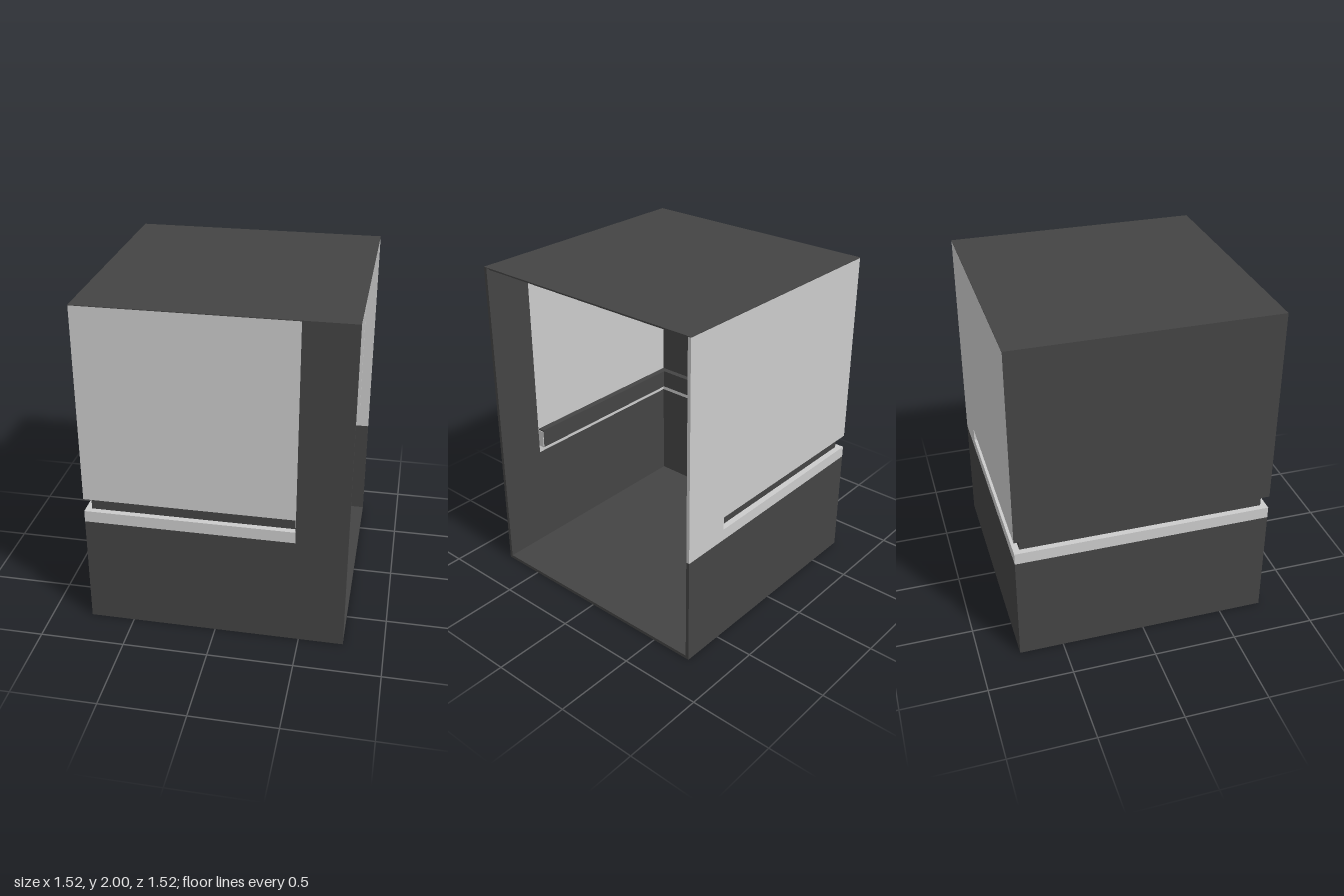
import * as THREE from 'three';

const H = 0.762;      // half width of the cabin
const T = 0.02;       // wall thickness
const XE = 0.465;     // where the rail groove stops
const LIP = 0.67, G0 = 0.74, G1 = 0.82, TOP = 2;

const grey = new THREE.MeshStandardMaterial({ color: 0xcccccc });
const dark = new THREE.MeshStandardMaterial({ color: 0x444444 });
const black = new THREE.MeshStandardMaterial({ color: 0x222222 });

// Vertical prism from a plan outline of [x, z] points
function prism(name, pts, y0, y1, mat) {
  const shape = new THREE.Shape(pts.map(([x, z]) => new THREE.Vector2(x, z)));
  const geo = new THREE.ExtrudeGeometry(shape, { depth: y1 - y0, bevelEnabled: false });
  geo.rotateX(Math.PI / 2).translate(0, y1, 0);
  const mesh = new THREE.Mesh(geo, mat);
  mesh.name = name;
  return mesh;
}

function box(name, x0, x1, y0, y1, z0, z1, mat) {
  const mesh = new THREE.Mesh(new THREE.BoxGeometry(x1 - x0, y1 - y0, z1 - z0), mat);
  mesh.position.set((x0 + x1) / 2, (y0 + y1) / 2, (z0 + z1) / 2);
  mesh.name = name;
  return mesh;
}

// U-shaped band around three walls, between two insets, open towards +x
function band(name, a, b, y0, y1, xEnd, mat) {
  const o = H - a, i = H - b;
  return prism(name, [[xEnd, -o], [-o, -o], [-o, o], [xEnd, o],
    [xEnd, i], [-i, i], [-i, -i], [xEnd, -i]], y0, y1, mat);
}

// Front or back wall (s = 1 or -1), mitred at the closed side
function longWall(name, s, xEnd, y0, y1, mat) {
  return prism(name, [[-H, s * H], [xEnd, s * H], [xEnd, s * (H - T)], [-H + T, s * (H - T)]], y0, y1, mat);
}

function controlPanel() {
  const panel = new THREE.Group();
  panel.name = 'controlPanel';
  const z = -H + T, face = z + 0.02, cx = 0.605;
  panel.add(box('panelPlate', cx - 0.095, cx + 0.095, 0.78, 1.6, z, face, grey));
  // grid of round buttons
  const geo = new THREE.CylinderGeometry(0.02, 0.02, 0.012, 16).rotateX(Math.PI / 2);
  for (let r = 0; r < 11; r++) for (let c = -1; c <= 1; c++) {
    const button = new THREE.Mesh(geo, black);
    button.name = 'button';
    button.position.set(cx + c * 0.052, 0.915 + r * 0.042, face + 0.003);
    panel.add(button);
  }
  // small indicators above the buttons
  panel.add(box('indicator', cx - 0.045, cx - 0.037, 1.385, 1.41, face, face + 0.002, black));
  panel.add(box('indicator', cx + 0.015, cx + 0.045, 1.39, 1.405, face, face + 0.002, black));
  return panel;
}

export function createModel() {
  const g = new THREE.Group();
  g.name = 'cabin';

  // floor and roof
  const inner = H - T, skin = 0.004;
  g.add(box('floor', -H, H, 0, T, -H, H, dark));
  g.add(box('roof', -H, H, TOP - skin, TOP, -H, H, dark));
  g.add(box('ceiling', -inner, inner, TOP - T, TOP - skin, -inner, inner, dark));

  // lower walls and the pale lip running around above them
  g.add(band('lowerWalls', 0, T, T, LIP, XE, dark));
  g.add(band('lip', 0, T, LIP, G0, XE, grey));

  // upper walls
  g.add(longWall('upperFrontWall', 1, XE, G1, TOP - skin, grey));
  g.add(longWall('upperBackWall', -1, XE, G1, TOP - skin, grey));
  g.add(prism('upperSideWall', [[-H, -H], [-H, H], [-inner, inner], [-inner, -inner]], G1, TOP - skin, dark));

  // plain wall strips beside the open side
  g.add(box('frontStrip', XE, H, T, TOP - skin, inner, H, dark));
  g.add(box('lowerBackStrip', XE, H, T, LIP, -H, -inner, dark));
  g.add(box('upperBackStrip', XE, H, LIP, TOP - skin, -H, -inner, grey));

  // channel that is a groove outside and a rail inside
  const back = 0.036, rail = 0.06;
  g.add(band('railFace', back, rail, G0 - T, G1 + T, XE - 0.005, dark));
  g.add(band('railTop', T, back, G1, G1 + T, XE - 0.005, dark));
  g.add(band('railBottom', T, back, G0 - T, G0 - 0.005, XE - 0.005, dark));
  g.add(band('grooveFloor', T, back, G0 - 0.005, G0, XE - 0.005, grey));
  for (const s of [1, -1]) {
    const z0 = inner, z1 = H - rail;
    g.add(box('railEnd', XE - 0.005, XE, G0 - T, G1 + 0.012,
      Math.min(s * z0, s * z1), Math.max(s * z0, s * z1), grey));
  }

  g.add(controlPanel());
  return g;
}
